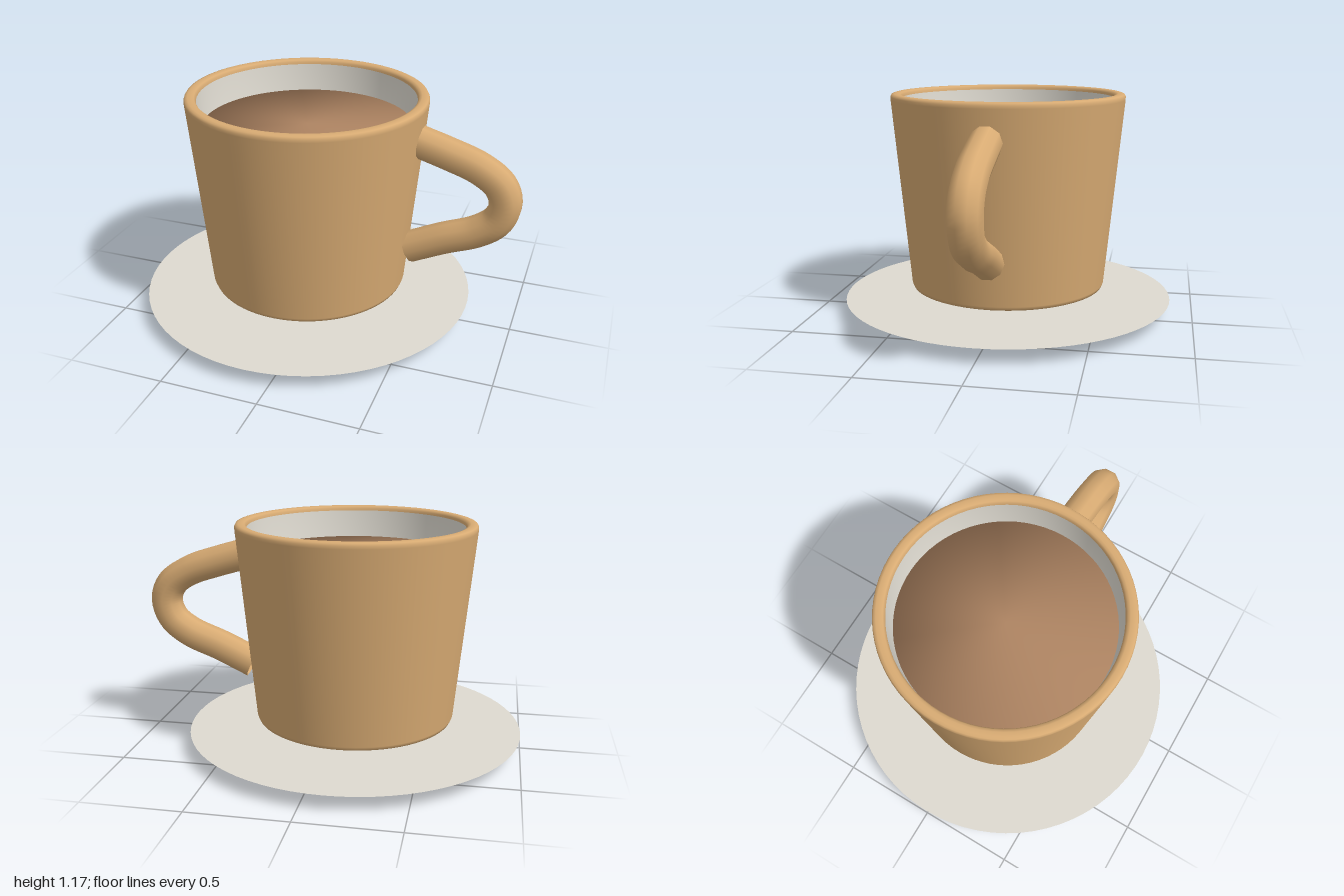
import * as THREE from 'three';

const CUP_X = -0.12; // the cup and saucer sit off centre to make room for the handle

function material(name, color, side = THREE.FrontSide) {
  const m = new THREE.MeshStandardMaterial({ color, side });
  m.name = name;
  return m;
}

// Surface of revolution from [radius, height] pairs
function turned(name, profile, mat) {
  const points = profile.map(([r, y]) => new THREE.Vector2(r, y));
  const mesh = new THREE.Mesh(new THREE.LatheGeometry(points, 72), mat);
  mesh.name = name;
  mesh.position.x = CUP_X;
  return mesh;
}

export function createModel() {
  const tan = material('tan glaze', 0xd8ab73, THREE.DoubleSide);
  const cream = material('cream porcelain', 0xdedad0);
  const coffee = material('coffee brown', 0xae8462);

  const model = new THREE.Group();
  model.name = 'cupAndSaucer';

  // Saucer: sloping underside and flat top, with a sharp rim between
  model.add(turned('saucerUnderside', [[0, 0], [0.56, 0], [0.88, 0.08]], cream));
  model.add(turned('saucerTop', [[0.88, 0.08], [0, 0.08]], cream));

  // Outer wall with rounded foot and rim
  model.add(turned('cupBody', [
    [0, 0.135], [0.5, 0.135], [0.515, 0.141], [0.523, 0.16],
    [0.617, 1.145], [0.617, 1.16], [0.611, 1.171], [0.598, 1.175],
    [0.578, 1.175], [0.566, 1.171], [0.559, 1.161], [0.557, 1.145],
  ], tan));

  // Pale lining, from the rim down to the inside floor
  model.add(turned('cupLining', [[0.557, 1.15], [0.465, 0.19], [0, 0.19]], cream));

  // Drink filling the cup, softly shaded towards its edge
  model.add(turned('coffee', [[0, 0.2], [0.463, 0.2], [0.542, 1.005], [0, 1.005]], coffee));

  // Handle swept along a rounded loop
  const path = new THREE.CatmullRomCurve3([
    [0.45, 0.992], [0.62, 0.942], [0.78, 0.885], [0.884, 0.81], [0.917, 0.72],
    [0.884, 0.62], [0.79, 0.545], [0.62, 0.475], [0.437, 0.39],
  ].map(([x, y]) => new THREE.Vector3(x, y, 0)));
  const handle = new THREE.Mesh(new THREE.TubeGeometry(path, 48, 0.083, 10), tan);
  handle.name = 'handle';
  model.add(handle);

  return model;
}
